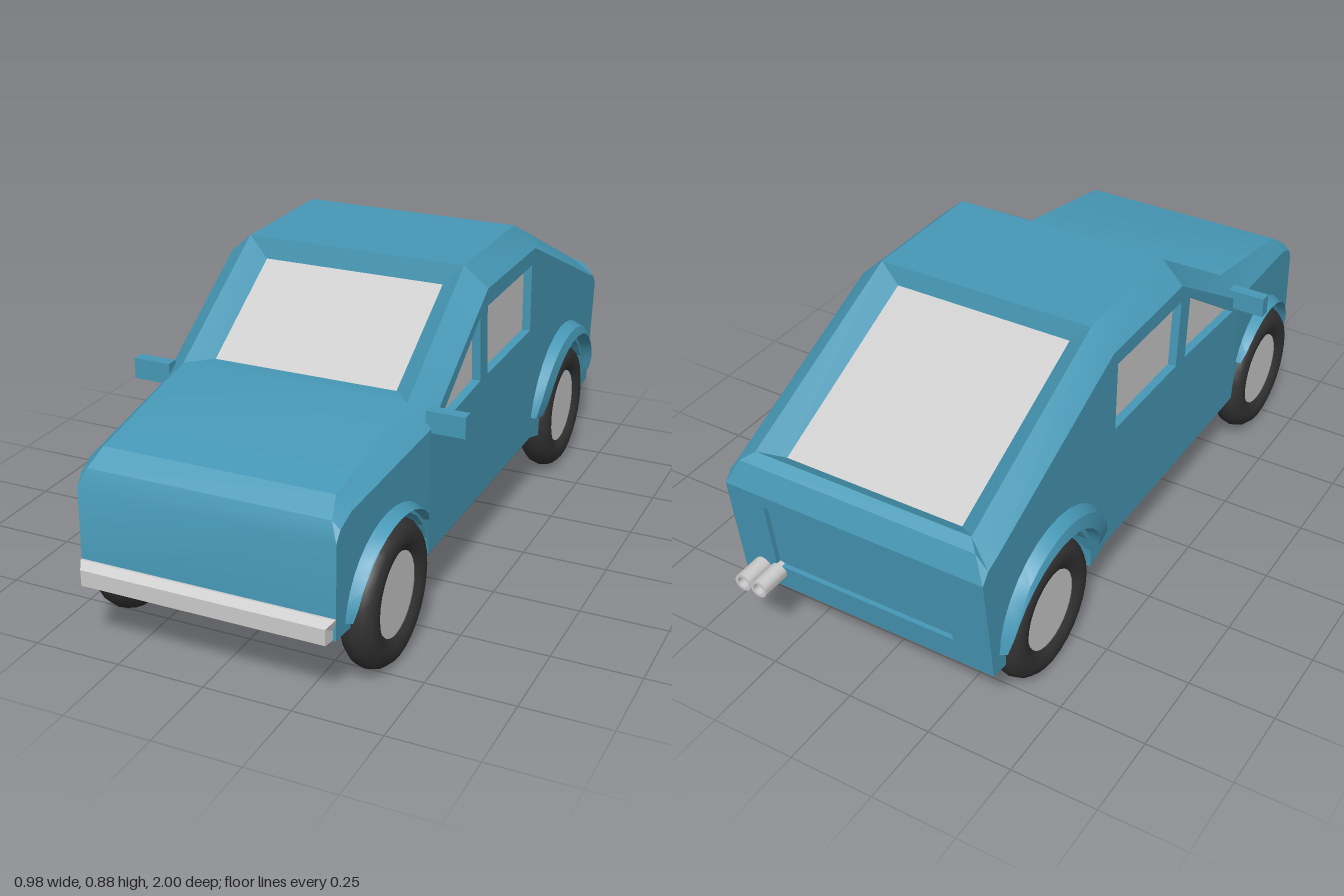
import * as THREE from 'three';
import { toCreasedNormals } from 'three/addons/utils/BufferGeometryUtils.js';

const paint = new THREE.MeshStandardMaterial({ color: 0x4799b7, side: THREE.DoubleSide });
const rubber = new THREE.MeshStandardMaterial({ color: 0x333333 });
const grey = new THREE.MeshStandardMaterial({ color: 0xcccccc, side: THREE.DoubleSide });

// Half width of the body: full at the cabin, narrowing along the front wings
const sideX = z => 0.395 - 0.035 * Math.min(1, Math.max(0, (z - 0.48) / 0.49));

// Body outline from nose to tail: [z, y, half width] of the top edge, [z, y] of the shoulder
const top = [[0.97, 0.21, 0.36], [0.965, 0.47, 0.36], [0.945, 0.52, 0.34], [0.89, 0.56, 0.325],
  [0.48, 0.635, 0.33], [0.09, 0.885, 0.327], [-0.31, 0.885, 0.327], [-0.89, 0.61, 0.33],
  [-0.92, 0.59, 0.36], [-0.945, 0.52, 0.395], [-0.905, 0.19, 0.395]];
const shoulder = [[0.97, 0.21], [0.965, 0.47], [0.945, 0.5], [0.89, 0.525], [0.48, 0.57],
  [0.08, 0.825], [-0.31, 0.825], [-0.88, 0.565], [-0.92, 0.55], [-0.945, 0.52], [-0.905, 0.19]];

const sideWindows = [
  [[0.44, 0.55], [0.12, 0.57], [0.135, 0.76]],
  [[0.08, 0.775], [0.065, 0.57], [-0.29, 0.575], [-0.285, 0.78]]];

// Wheel arch points from front to back
function arch(cz, r, from, to, n = 12) {
  return Array.from({ length: n + 1 }, (_, i) => {
    const a = THREE.MathUtils.degToRad(from + (to - from) * i / n);
    return [cz + r * Math.cos(a), 0.2 + r * Math.sin(a)];
  });
}
const frontArch = arch(0.69, 0.21, 3, 177);
const rearArch = arch(-0.63, 0.22, -4, 184);

function add(parent, name, geometry, material) {
  const mesh = new THREE.Mesh(geometry, material);
  mesh.name = name;
  parent.add(mesh);
  return mesh;
}

// Geometry from a list of four-cornered faces
function quads(list, crease = 0.4) {
  const pos = [];
  for (const [a, b, c, d] of list) pos.push(...a, ...b, ...c, ...a, ...c, ...d);
  const g = new THREE.BufferGeometry();
  g.setAttribute('position', new THREE.Float32BufferAttribute(pos, 3));
  g.computeVertexNormals();
  return toCreasedNormals(g, crease);
}

// Faces joining two rings of four corners
const ringFaces = (o, n) => o.map((p, i) => [p, o[(i + 1) % 4], n[(i + 1) % 4], n[i]]);

// Plate drawn in (z, y) whose outer face lies at x
function plate(points, depth, x, holes = []) {
  const toV = l => l.map(p => new THREE.Vector2(p[0], p[1]));
  const shape = new THREE.Shape(toV(points));
  shape.holes = holes.map(h => new THREE.Path(toV(h)));
  return new THREE.ExtrudeGeometry(shape, { depth, bevelEnabled: false })
    .rotateY(-Math.PI / 2).translate(x, 0, 0);
}

// Curved wing flare around a wheel arch
function flare(cz, rOut, rIn, from, to, bulge) {
  const n = 14, rings = [];
  for (let i = 0; i <= n; i++) {
    const t = i / n, a = THREE.MathUtils.degToRad(from + (to - from) * t);
    const h = bulge * (0.4 + 0.6 * Math.sqrt(Math.sin(Math.PI * t)));
    const ro = rOut(t);
    rings.push([[ro, -0.01], [ro - 0.02, h * 0.8], [rIn + 0.015, h], [rIn, -0.03]].map(([r, dx]) => {
      const z = cz + r * Math.cos(a);
      return [sideX(z) + dx, 0.2 + r * Math.sin(a), z];
    }));
  }
  const faces = [[...rings[0]].reverse(), rings[n]];
  for (let i = 0; i < n; i++) for (let k = 0; k < 3; k++)
    faces.push([rings[i][k], rings[i][k + 1], rings[i + 1][k + 1], rings[i + 1][k]]);
  return quads(faces, 0.6);
}

function addWheel(parent, name, z) {
  const wheel = new THREE.Group();
  wheel.name = name;
  wheel.position.set(0.363, 0.2, z);
  const half = [[0.085, 0.03], [0.115, 0.034], [0.13, 0.045], [0.155, 0.05], [0.178, 0.043], [0.194, 0.025]];
  const profile = [...half.slice(1).map(([r, y]) => [r, y]).reverse()];
  const points = [...half.map(([r, y]) => [r, -y]), [0.2, 0], ...profile];
  const tyre = new THREE.LatheGeometry(points.map(p => new THREE.Vector2(...p)), 28);
  add(wheel, 'tyre', tyre.rotateZ(-Math.PI / 2), rubber);
  add(wheel, 'hub', new THREE.CylinderGeometry(0.116, 0.085, 0.064, 28).rotateZ(-Math.PI / 2), grey);
  parent.add(wheel);
}

// Everything on the left side; mirrored for the right
function createSide(name) {
  const g = new THREE.Group();
  g.name = name;

  // Cabin and rear wing, with window openings
  const cabin = [...shoulder.slice(4), ...[...rearArch].reverse(), [-0.33, 0.21], [0.48, 0.21]];
  add(g, 'sidePanel', plate(cabin, 0.03, 0.395, sideWindows), paint);
  sideWindows.forEach(w => add(g, 'sideWindow', plate(w, 0.005, 0.37), grey));

  // Front wing, tapering to the nose
  const wing = plate([...shoulder.slice(0, 5), ...[...frontArch].reverse()], 0.03, 0.395);
  const p = wing.attributes.position;
  for (let i = 0; i < p.count; i++) p.setX(i, p.getX(i) - 0.395 + sideX(p.getZ(i)));
  wing.computeVertexNormals();
  add(g, 'frontWing', wing, paint);

  // Slanted band between shoulder and top edge
  const T = top.map(([z, y, x]) => [x, y, z]);
  const S = shoulder.map(([z, y]) => [sideX(z), y, z]);
  add(g, 'shoulderBand', quads(T.slice(1).map((t, i) => [T[i], S[i], S[i + 1], t])), paint);

  // Underside: wheel wells that flatten out towards the middle
  const edge = [[0.97, 0.21], ...frontArch, [-0.33, 0.21], ...rearArch, [-0.905, 0.19]];
  const rows = edge.map(([z, y]) => [
    [sideX(z), y, z], [0.28, y, z], [0, z > 0.4 ? 0.21 : z < -0.9 ? 0.19 : z < -0.35 ? 0.177 : 0.205, z]]);
  const floor = [];
  for (let i = 0; i + 1 < rows.length; i++) for (let k = 0; k < 2; k++)
    floor.push([rows[i][k + 1], rows[i + 1][k + 1], rows[i + 1][k], rows[i][k]]);
  add(g, 'underside', quads(floor), paint);

  add(g, 'frontFlare', flare(0.69, () => 0.245, 0.21, 8, 145, 0.035), paint);
  add(g, 'rearFlare', flare(-0.63, t => 0.315 - 0.055 * t, 0.225, 14, 170, 0.043), paint);
  addWheel(g, 'frontWheel', 0.69);
  addWheel(g, 'rearWheel', -0.63);

  const mirror = add(g, 'wingMirror', new THREE.BoxGeometry(0.11, 0.06, 0.034), paint);
  mirror.position.set(0.435, 0.59, 0.458);
  return g;
}

export function createModel() {
  const car = new THREE.Group();
  car.name = 'car';

  // Top skin from nose to tail, with recessed windscreen, rear window and tailgate
  const glass = { 4: [[0.41, 0.63], [0.10, 0.825]], 6: [[-0.32, 0.83], [-0.84, 0.58]] };
  const names = { 4: 'windscreen', 6: 'rearWindow' };
  const skin = [];
  for (let i = 0; i + 1 < top.length; i++) {
    const [z0, y0, h0] = top[i], [z1, y1, h1] = top[i + 1];
    const outer = [[-h0, y0, z0], [h0, y0, z0], [h1, y1, z1], [-h1, y1, z1]];
    if (glass[i]) {
      const [[za, ya], [zb, yb]] = glass[i];
      const pane = [[-0.27, ya, za], [0.27, ya, za], [0.27, yb, zb], [-0.27, yb, zb]];
      skin.push(...ringFaces(outer, pane));
      add(car, names[i], quads([pane]), grey);
    } else if (i === 9) {
      const at = (x, v) => [x, y0 + (y1 - y0) * v, z0 + (z1 - z0) * v];
      const hole = [at(-0.28, 0.12), at(0.28, 0.12), at(0.28, 0.76), at(-0.28, 0.76)];
      const panel = hole.map(([x, y, z]) => [x, y, z + 0.014]);
      skin.push(...ringFaces(outer, hole), ...ringFaces(hole, panel));
      add(car, 'tailgatePanel', quads([panel]), paint);
    } else skin.push(outer);
  }
  add(car, 'bodyTop', quads(skin), paint);

  const left = createSide('leftSide'), right = createSide('rightSide');
  right.scale.x = -1;
  car.add(left, right);

  // Front bumper with chamfered top and ends
  const bumper = plate([[0.92, 0.21], [1, 0.21], [1, 0.255], [0.975, 0.27], [0.92, 0.27]], 0.72, 0.36);
  const p = bumper.attributes.position;
  for (let i = 0; i < p.count; i++) if (p.getZ(i) > 0.99) p.setX(i, p.getX(i) * 0.96);
  bumper.computeVertexNormals();
  add(car, 'frontBumper', bumper, grey);

  // Twin exhaust pipes
  const pipe = [[0.017, 0.05], [0.017, -0.05], [0.026, -0.05], [0.026, 0.05], [0.017, 0.05]];
  for (const x of [0.277, 0.329]) {
    const g = new THREE.LatheGeometry(pipe.map(q => new THREE.Vector2(...q)), 14);
    add(car, 'exhaustPipe', toCreasedNormals(g.rotateX(Math.PI / 2), 0.6), grey).position.set(x, 0.247, -0.95);
  }
  return car;
}
